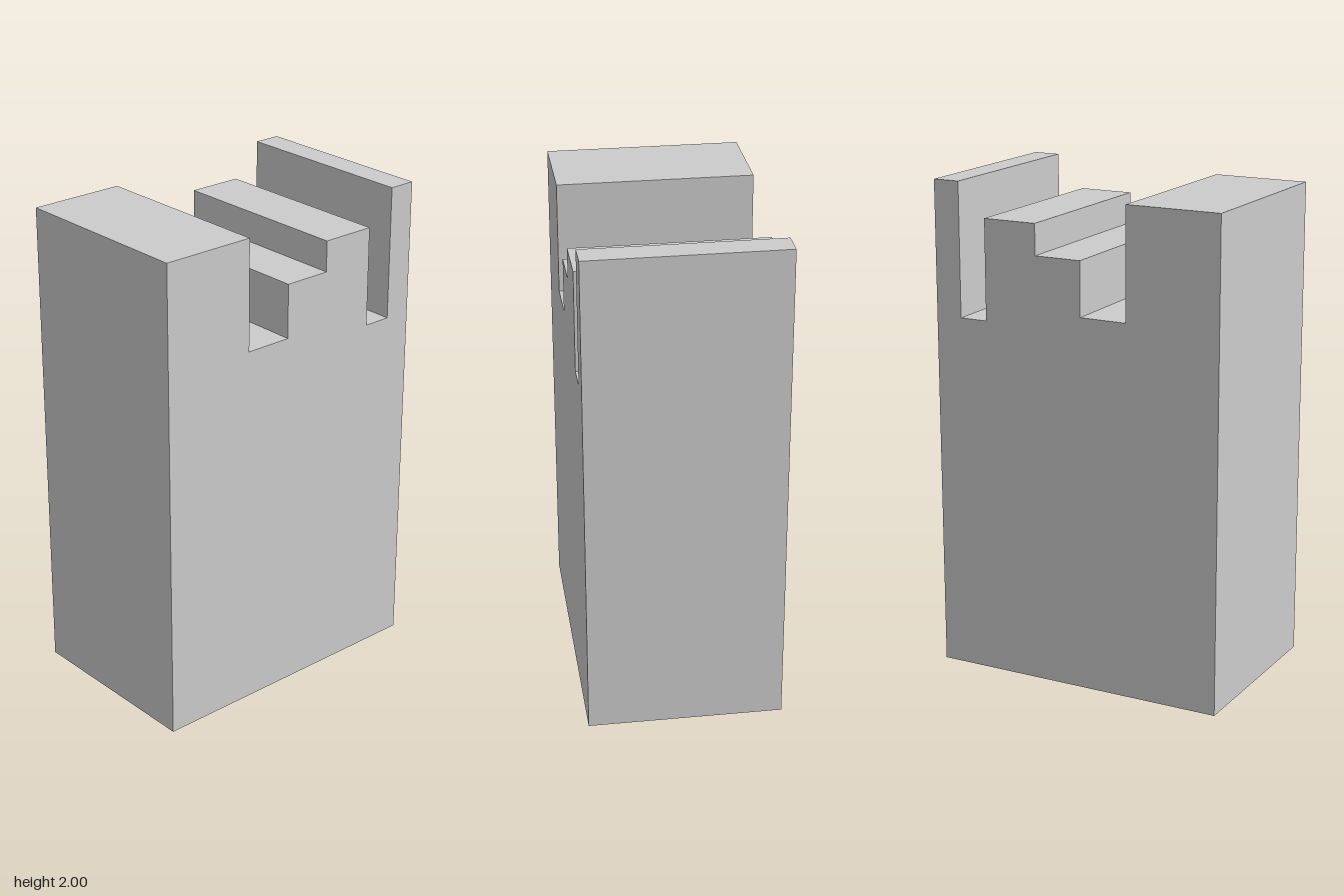
import * as THREE from 'three';

const WIDTH = 0.78;
const FRONT = 0.615;
// Steps from front to back: [z where the step ends, height of the step]
const STEPS = [
  [0.225, 1.97],
  [0.03, 1.52],
  [-0.165, 1.74],
  [-0.39, 1.865],
  [-0.505, 1.46],
  [-0.615, 2],
];

export function createModel() {
  const group = new THREE.Group();
  group.name = 'notchedBlock';

  // Side profile: shape x is the model's z, shape y is height
  const profile = new THREE.Shape();
  profile.moveTo(FRONT, 0);
  let z = FRONT;
  for (const [end, height] of STEPS) {
    profile.lineTo(z, height);
    profile.lineTo(end, height);
    z = end;
  }
  profile.lineTo(z, 0);
  profile.closePath();

  // Extrude across the width, then turn the profile to run along z
  const geometry = new THREE.ExtrudeGeometry(profile, { depth: WIDTH, bevelEnabled: false });
  geometry.translate(0, 0, -WIDTH / 2);
  geometry.rotateY(-Math.PI / 2);

  const material = new THREE.MeshStandardMaterial({ color: 0xcccccc, flatShading: true });
  const block = new THREE.Mesh(geometry, material);
  block.name = 'steppedBlock';
  group.add(block);
  return group;
}
